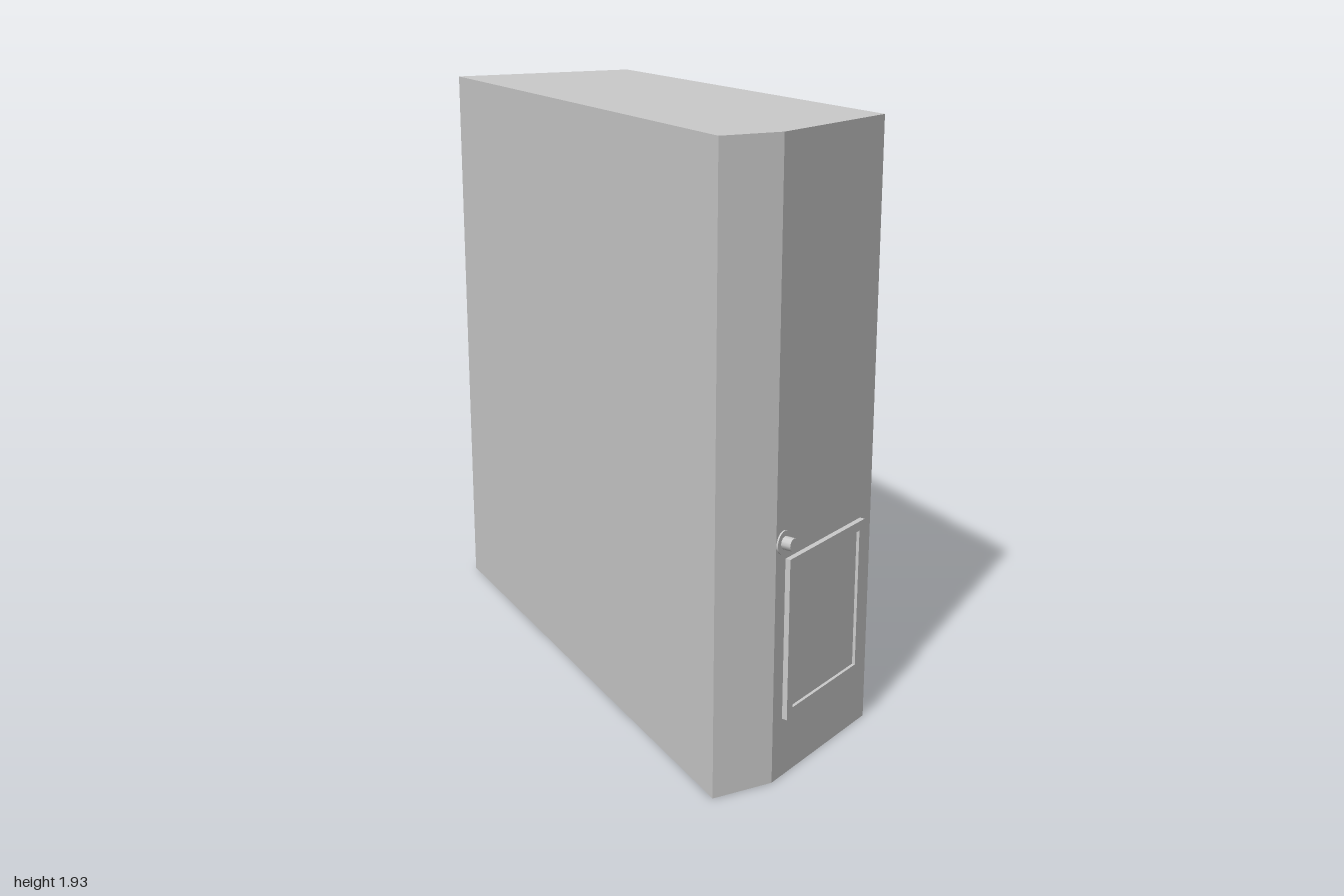
import * as THREE from 'three';

const H = 1.93, X = 0.34, BACK = -1, FRONT = 0.975;
const CORNER = -0.14, SIDE_Z = 0.74;            // ends of the slanted front face
const NX = 0.14, NZ = -0.8, NY0 = 0.155, NY1 = 1.78; // rear corner notch
const WIN = { z0: -0.69, z1: -0.49, y0: 1.02, y1: 1.52, depth: 0.012 };

const sheetMat = new THREE.MeshStandardMaterial({ color: 0xcccccc, side: THREE.DoubleSide });
const solidMat = new THREE.MeshStandardMaterial({ color: 0xcccccc });

const shapeOf = (pts) => new THREE.Shape(pts.map(([a, b]) => new THREE.Vector2(a, b)));
const rect = (a0, b0, a1, b1) => shapeOf([[a0, b0], [a1, b0], [a1, b1], [a0, b1]]);

function add(parent, name, geometry, material = sheetMat) {
  const mesh = new THREE.Mesh(geometry, material);
  mesh.name = name;
  parent.add(mesh);
  return mesh;
}

// upright sheet between two floor points; faces the right-hand side of the walk from a to b
function wall(parent, name, [ax, az], [bx, bz], y0 = 0, y1 = H) {
  const mesh = add(parent, name, new THREE.PlaneGeometry(Math.hypot(bx - ax, bz - az), y1 - y0));
  mesh.position.set((ax + bx) / 2, (y0 + y1) / 2, (az + bz) / 2);
  mesh.rotation.y = Math.atan2(-(bz - az), bx - ax);
  return mesh;
}

// level sheet facing up or down
function level(parent, name, pts, y, up) {
  const s = up ? -1 : 1;
  const geo = new THREE.ShapeGeometry(shapeOf(pts.map(([x, z]) => [x, s * z])));
  geo.rotateX(s * Math.PI / 2).translate(0, y, 0);
  return add(parent, name, geo);
}

export function createModel() {
  const model = new THREE.Group();
  model.name = 'cabinet';

  // shell, open at the back
  const outline = [[-X, BACK], [-X, FRONT], [CORNER, FRONT], [X, SIDE_Z], [X, BACK]];
  level(model, 'roof', outline, H, true);
  level(model, 'floor', outline, 0, false);
  ['rightWall', 'frontStrip', 'slantedFront'].forEach((n, i) => wall(model, n, outline[i], outline[i + 1]));

  // left wall with the rear notch and the inset opening
  const side = shapeOf([[-SIDE_Z, 0], [-BACK, 0], [-BACK, NY0], [-NZ, NY0],
    [-NZ, NY1], [-BACK, NY1], [-BACK, H], [-SIDE_Z, H]]);
  side.holes.push(rect(-WIN.z1, WIN.y0, -WIN.z0, WIN.y1));
  add(model, 'leftWall', new THREE.ShapeGeometry(side).rotateY(Math.PI / 2).translate(X, 0, 0));

  // shallow inset panel
  const inX = X - WIN.depth;
  wall(model, 'insetPanel', [inX, WIN.z1], [inX, WIN.z0], WIN.y0, WIN.y1);
  wall(model, 'insetFrontEdge', [X, WIN.z1], [inX, WIN.z1], WIN.y0, WIN.y1);
  wall(model, 'insetRearEdge', [inX, WIN.z0], [X, WIN.z0], WIN.y0, WIN.y1);
  const insetPlan = [[inX, WIN.z0], [inX, WIN.z1], [X, WIN.z1], [X, WIN.z0]];
  level(model, 'insetBottomEdge', insetPlan, WIN.y0, true);
  level(model, 'insetTopEdge', insetPlan, WIN.y1, false);

  // rear corner notch
  wall(model, 'notchFace', [X, NZ], [NX, NZ], NY0, NY1);
  wall(model, 'notchSide', [NX, NZ], [NX, BACK], NY0, NY1);
  const notchPlan = [[NX, BACK], [NX, NZ], [X, NZ], [X, BACK]];
  level(model, 'notchBottom', notchPlan, NY0, true);
  level(model, 'notchTop', notchPlan, NY1, false);

  // fittings on the slanted face: local x runs along it, local z points out
  const fittings = new THREE.Group();
  fittings.name = 'frontFittings';
  fittings.position.set(CORNER, 0, FRONT);
  fittings.rotation.y = Math.atan2(FRONT - SIDE_Z, X - CORNER);
  model.add(fittings);

  // hatch: raised frame around a recessed panel
  const frame = rect(0.05, 0.19, 0.472, 0.7);
  frame.holes.push(rect(0.08, 0.22, 0.442, 0.67));
  add(fittings, 'hatchFrame', new THREE.ExtrudeGeometry(frame, { depth: 0.017, bevelEnabled: false }), solidMat);
  add(fittings, 'hatchPanel', new THREE.BoxGeometry(0.362, 0.45, 0.007).translate(0.261, 0.445, 0.0035), solidMat);

  // knob on its round plate
  const disc = (name, radius, length, sides) => add(fittings, name,
    new THREE.CylinderGeometry(radius, radius, length, sides).rotateX(Math.PI / 2)
      .translate(0.037, 0.755, length / 2), solidMat);
  disc('knobPlate', 0.036, 0.005, 24);
  disc('knob', 0.02, 0.036, 12);

  return model;
}
